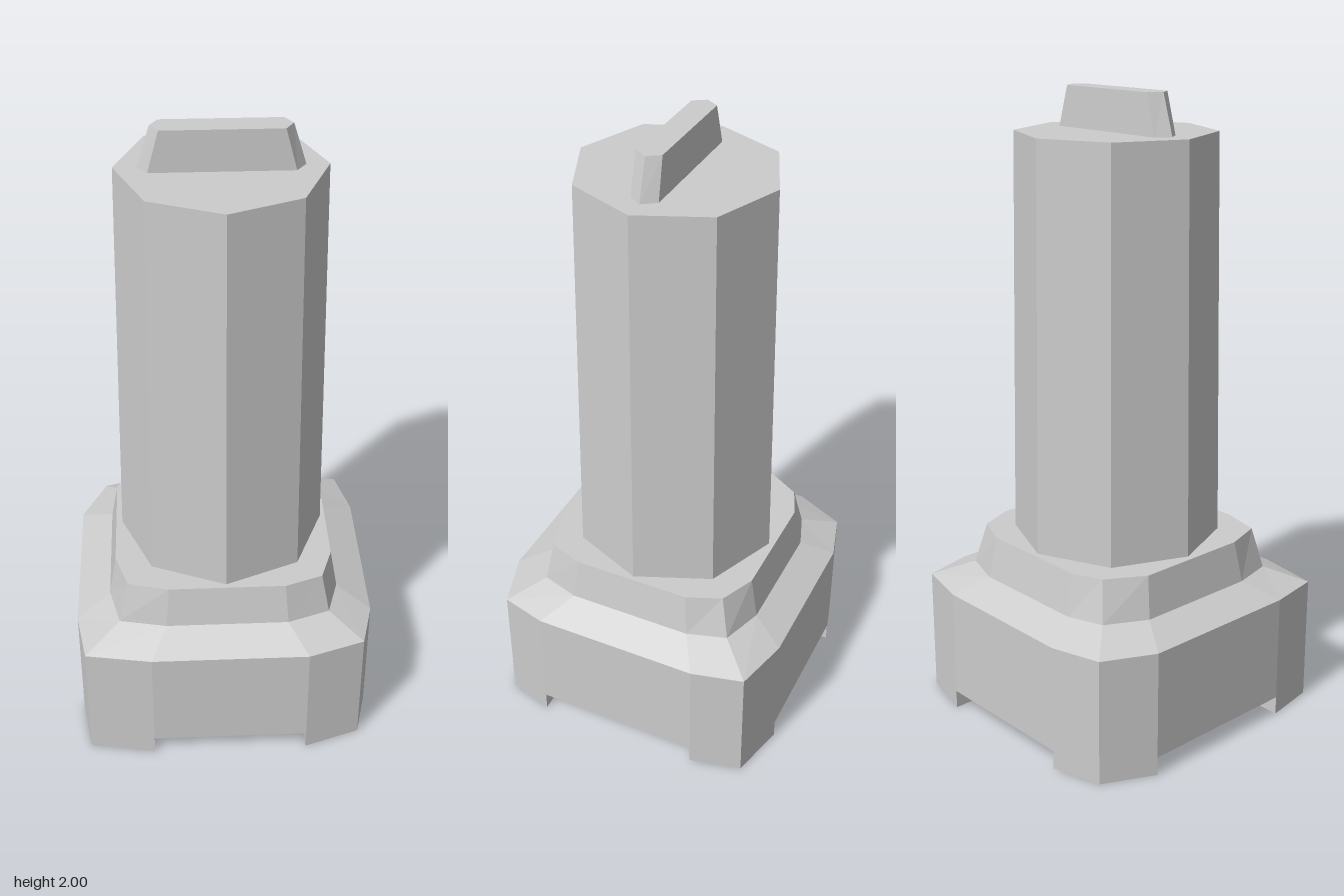
import * as THREE from 'three';

const material = new THREE.MeshStandardMaterial({ color: 0xcccccc, flatShading: true });

// Capped loft through matching convex outlines [x, z], each placed at a height y.
function loft(name, sections) {
  const pos = [];
  const tri = (...corners) => corners.forEach((c) => pos.push(...c));
  const rings = sections.map(([y, outline]) => outline.map(([x, z]) => [x, y, z]));
  const n = rings[0].length;
  const centre = (ring) => [0, 1, 2].map((k) => ring.reduce((s, p) => s + p[k], 0) / n);
  const first = rings[0], last = rings[rings.length - 1];
  const bottom = centre(first), top = centre(last);
  for (let i = 0; i < n; i++) {
    const j = (i + 1) % n;
    for (let r = 0; r < rings.length - 1; r++) {
      const a = rings[r], b = rings[r + 1];
      tri(a[i], b[i], a[j]);
      tri(b[i], b[j], a[j]);
    }
    tri(bottom, first[i], first[j]);
    tri(top, last[j], last[i]);
  }
  const geometry = new THREE.BufferGeometry();
  geometry.setAttribute('position', new THREE.Float32BufferAttribute(pos, 3));
  geometry.computeVertexNormals();
  const mesh = new THREE.Mesh(geometry, material);
  mesh.name = name;
  return mesh;
}

// Plan outlines, running clockwise as seen from above
const blockOutline = [
  [-0.24, -0.48], [0.26, -0.48], [0.44, -0.435], [0.48, -0.27], [0.48, 0.27], [0.44, 0.42],
  [0.26, 0.48], [-0.24, 0.48], [-0.45, 0.445], [-0.48, 0.27], [-0.48, -0.27], [-0.40, -0.435],
];
const collarLower = [
  [-0.19, -0.375], [0.2, -0.375], [0.335, -0.33], [0.373, -0.205], [0.373, 0.2], [0.335, 0.325],
  [0.2, 0.372], [-0.19, 0.372], [-0.34, 0.342], [-0.373, 0.205], [-0.373, -0.205], [-0.305, -0.335],
];
const collarUpper = [
  [-0.18, -0.35], [0.19, -0.35], [0.305, -0.30], [0.35, -0.19], [0.35, 0.19], [0.31, 0.305],
  [0.19, 0.348], [-0.18, 0.348], [-0.31, 0.315], [-0.35, 0.19], [-0.35, -0.19], [-0.278, -0.31],
];
const finLower = [[-0.24, 0], [-0.21, -0.044], [0.215, -0.044], [0.245, 0], [0.215, 0.042], [-0.21, 0.042]];
const finUpper = [[-0.2, 0], [-0.175, -0.04], [0.18, -0.04], [0.205, 0], [0.18, 0.04], [-0.175, 0.04]];

export function createModel() {
  const model = new THREE.Group();
  model.name = 'pillar';

  // Chamfered block with sloped shoulder and stepped collar
  model.add(loft('base', [[0.06, blockOutline], [0.41, blockOutline], [0.46, collarLower], [0.593, collarUpper]]));

  // Four corner feet, square on their inner sides
  const feet = new THREE.Group();
  feet.name = 'feet';
  const nearZero = (a, b) => (Math.abs(a) < Math.abs(b) ? a : b);
  for (let i = 0; i < 4; i++) {
    const [a, b, c] = [1, 2, 3].map((k) => blockOutline[(3 * i + k) % 12]);
    const outline = [a, b, c, [nearZero(a[0], c[0]), nearZero(a[1], c[1])]];
    feet.add(loft('foot', [[0, outline], [0.06, outline]]));
  }
  model.add(feet);

  // Tapered eight-sided shaft
  const shaft = new THREE.Mesh(new THREE.CylinderGeometry(0.31, 0.332, 1.282, 8), material);
  shaft.name = 'shaft';
  shaft.position.set(0.002, 1.234, 0);
  model.add(shaft);

  // Narrow fin across the top
  model.add(loft('topFin', [[1.87, finLower], [2, finUpper]]));

  return model;
}
